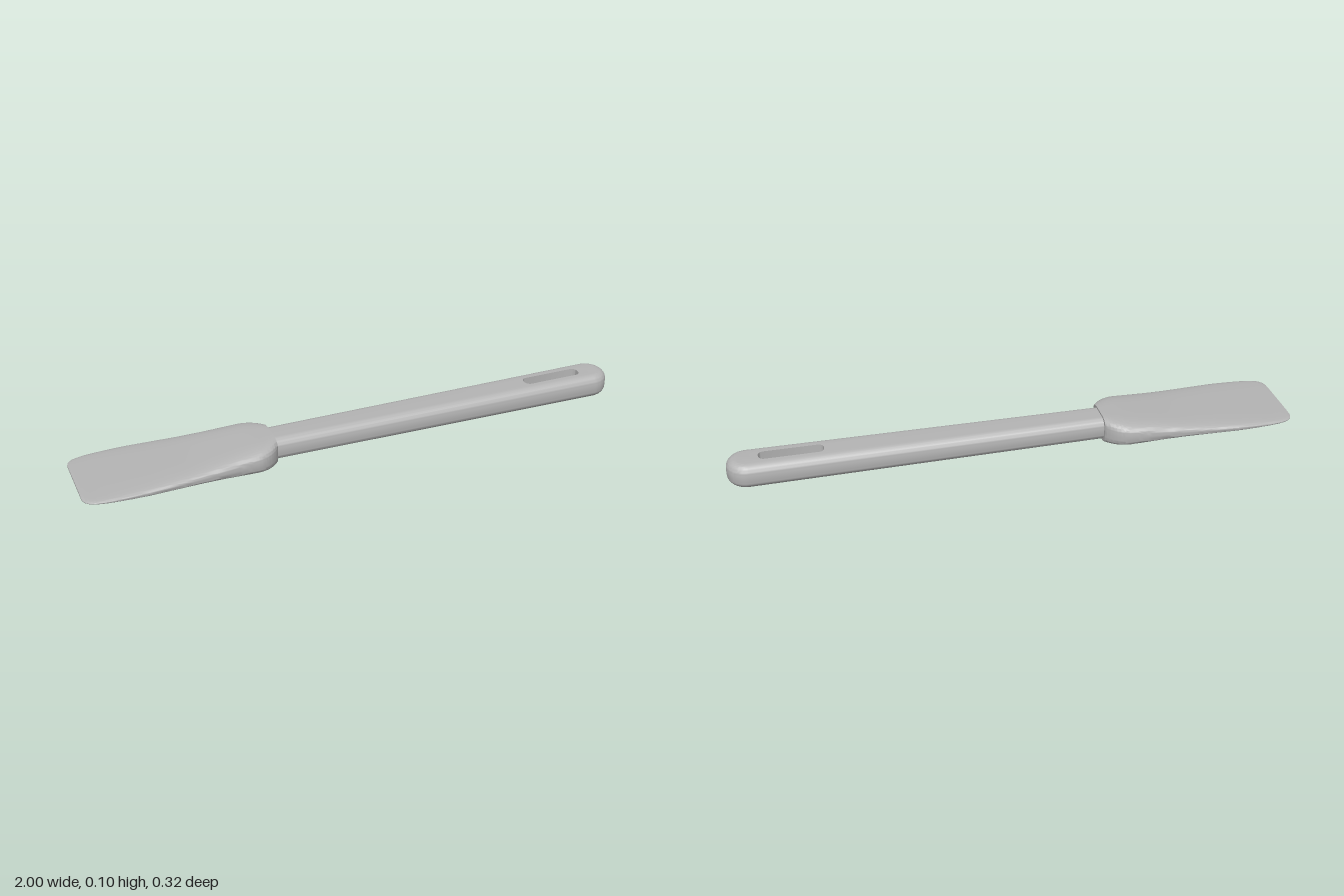
import * as THREE from 'three';
import { mergeVertices, toCreasedNormals } from 'three/addons/utils/BufferGeometryUtils.js';

const MID_Y = 0.049;

// Collects rings and caps into one surface with soft curves and crisp corners
class Skin {
  constructor() { this.points = []; this.index = []; }
  add(ring) {
    const start = this.points.length;
    this.points.push(...ring);
    return start;
  }
  // Joins consecutive rings of equal size
  loft(rings) {
    const n = rings[0].length;
    const starts = rings.map(r => this.add(r));
    for (let i = 0; i + 1 < starts.length; i++) {
      for (let j = 0; j < n; j++) {
        const k = (j + 1) % n, a = starts[i], b = starts[i + 1];
        this.index.push(a + j, a + k, b + k, a + j, b + k, b + j);
      }
    }
  }
  // Closes an outline, leaving any holes open
  cap(outline, holes, place, flip) {
    const start = this.add([outline, ...holes].flat().map(place));
    for (const [a, b, c] of THREE.ShapeUtils.triangulateShape(outline, holes)) {
      this.index.push(start + a, start + (flip ? c : b), start + (flip ? b : c));
    }
  }
  build(crease) {
    const g = new THREE.BufferGeometry().setFromPoints(this.points);
    g.setIndex(this.index);
    return toCreasedNormals(mergeVertices(g, 1e-5), crease);
  }
}

// Handle: gently widening bar with a round end, soft edges and a hanging slot
function handleGeometry() {
  const round = 0.032;
  const outline = inset => {
    const r = 0.071 - inset, pts = [new THREE.Vector2(-0.34, -(0.061 - inset))];
    for (let i = 0; i <= 32; i++) {
      const a = -Math.PI / 2 + Math.PI * i / 32;
      pts.push(new THREE.Vector2(0.929 + r * Math.cos(a), r * Math.sin(a)));
    }
    pts.push(new THREE.Vector2(-0.34, 0.061 - inset));
    return pts;
  };

  // Slot with rounded corners, run clockwise so its wall faces inward
  const slot = [];
  const r = 0.02, corners = [[0.87, -0.004], [0.87, 0.004], [0.686, 0.004], [0.686, -0.004]];
  corners.forEach(([x, y], q) => {
    for (let i = 0; i <= 6; i++) {
      const a = (q - 1 + i / 6) * Math.PI / 2;
      slot.push(new THREE.Vector2(x + r * Math.cos(a), y + r * Math.sin(a)));
    }
  });
  slot.reverse();

  // Level -1 is the underside, +1 the top
  const place = level => p =>
    new THREE.Vector3(p.x, MID_Y + level * (0.0415 + 0.003 * (p.x + 0.34) / 1.34), -p.y);
  const skin = new Skin(), rings = [];
  const core = 1 - round / 0.044;
  for (const side of [-1, 1]) {
    for (let i = 0; i <= 8; i++) {
      const a = (side < 0 ? 8 - i : i) / 8 * Math.PI / 2;
      const level = side * (core + (1 - core) * Math.sin(a));
      rings.push(outline(round * (1 - Math.cos(a))).map(place(level)));
    }
  }
  skin.loft(rings);
  skin.loft([-1, 1].map(level => slot.map(place(level))));
  for (const level of [-1, 1]) skin.cap(outline(round), [slot], place(level), level < 0);
  return skin.build(0.7);
}

// Blade: squarish oval sections from the thin tip to the thick socket
function bladeGeometry() {
  // x, half width, half thickness
  const sections = [
    [-1, 0.115, 0.004], [-0.994, 0.131, 0.0045], [-0.978, 0.146, 0.0055],
    [-0.945, 0.156, 0.007], [-0.88, 0.161, 0.0105], [-0.8, 0.161, 0.0145],
    [-0.7, 0.154, 0.019], [-0.6, 0.145, 0.0245], [-0.5, 0.136, 0.034],
    [-0.42, 0.130, 0.042], [-0.385, 0.126, 0.045], [-0.355, 0.113, 0.0465],
    [-0.332, 0.094, 0.0475], [-0.316, 0.074, 0.048],
  ];
  const curve = new THREE.CatmullRomCurve3(sections.map(s => new THREE.Vector3(...s)));
  const power = v => Math.sign(v) * Math.sqrt(Math.abs(v));
  const ring = s => Array.from({ length: 72 }, (_, i) => {
    const a = i / 72 * Math.PI * 2;
    return new THREE.Vector2(s.z * power(Math.cos(a)), s.y * power(Math.sin(a)));
  });
  const place = s => p => new THREE.Vector3(s.x, MID_Y + p.x, p.y);
  const stations = curve.getPoints(78);
  const skin = new Skin();
  skin.loft(stations.map(s => ring(s).map(place(s))));
  const first = stations[0], last = stations[stations.length - 1];
  skin.cap(ring(first), [], place(first), true);
  skin.cap(ring(last), [], place(last), false);
  return skin.build(0.7);
}

export function createModel() {
  const grey = new THREE.MeshStandardMaterial({ color: 0xb4b4b4 });
  grey.name = 'grey';
  const model = new THREE.Group();
  model.name = 'spatula';
  const parts = { handle: handleGeometry(), blade: bladeGeometry() };
  for (const [name, geometry] of Object.entries(parts)) {
    const mesh = new THREE.Mesh(geometry, grey);
    mesh.name = name;
    model.add(mesh);
  }
  return model;
}
